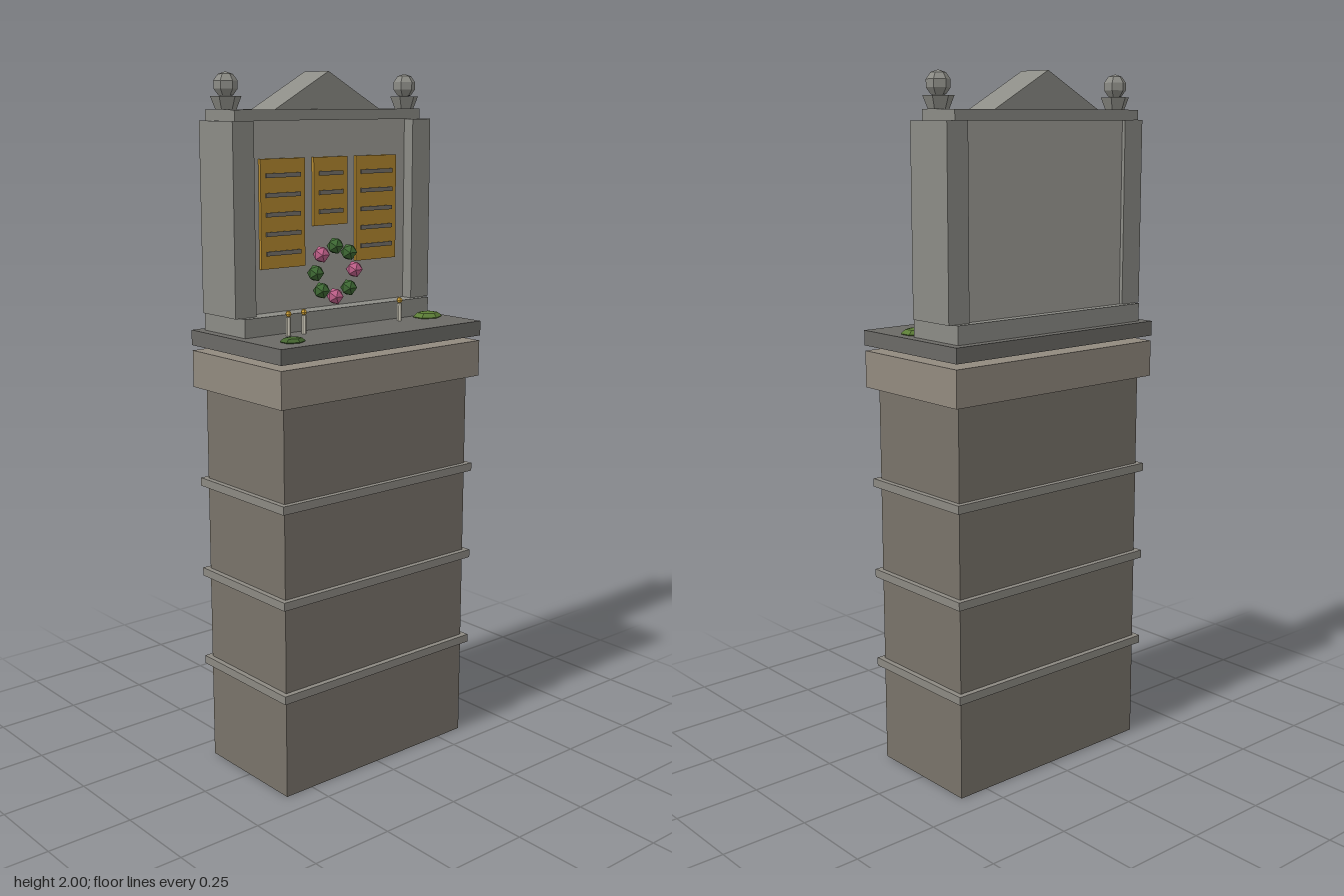
import * as THREE from 'three';

const mat = (color) => new THREE.MeshStandardMaterial({ color, flatShading: true });
const M = {
  shaft: mat(0x79736a), cornice: mat(0x928a7f), band: mat(0x8c8982), slab: mat(0x6b6a66),
  stone: mat(0x8c8c86), panel: mat(0xa09f98), gold: mat(0xb5892f), line: mat(0x77736b),
  leaf: mat(0x3f6a34), bloom: mat(0xc0608a), bush: mat(0x5c7d36), bushDark: mat(0x44652f),
  wax: mat(0xd0ccbc), flame: mat(0xd8a83a),
};

export function createModel() {
  const root = new THREE.Group();

  const add = (name, geo, material, x = 0, y = 0, z = 0, parent = root) => {
    const mesh = new THREE.Mesh(geo, material);
    mesh.name = name;
    mesh.position.set(x, y, z);
    parent.add(mesh);
    return mesh;
  };
  // Box given by its extents along each axis
  const box = (name, material, [x0, x1], [y0, y1], [z0, z1], parent = root) =>
    add(name, new THREE.BoxGeometry(x1 - x0, y1 - y0, z1 - z0), material,
      (x0 + x1) / 2, (y0 + y1) / 2, (z0 + z1) / 2, parent);

  // Tall pedestal with three bands and a cornice
  box('pedestalShaft', M.shaft, [-0.341, 0.341], [0, 1.13], [-0.177, 0.177]);
  for (const y of [0.303, 0.578, 0.851])
    box('pedestalBand', M.band, [-0.357, 0.357], [y - 0.012, y + 0.012], [-0.193, 0.193]);
  box('cornice', M.cornice, [-0.368, 0.368], [1.13, 1.235], [-0.203, 0.203]);
  box('topSlab', M.slab, [-0.369, 0.369], [1.25, 1.293], [-0.205, 0.205]);

  // Upright memorial wall
  box('wallBase', M.stone, [-0.341, 0.341], [1.293, 1.345], [-0.178, 0.011]);
  box('wallPanel', M.panel, [-0.3, 0.3], [1.345, 1.868], [-0.15, -0.044]);
  box('wallCap', M.stone, [-0.335, 0.335], [1.868, 1.897], [-0.165, -0.03]);

  // Triangular pediment
  const tri = new THREE.Shape();
  tri.moveTo(-0.189, 1.897).lineTo(0.189, 1.897).lineTo(0, 2).closePath();
  add('pediment', new THREE.ExtrudeGeometry(tri, { depth: 0.107, bevelEnabled: false }),
    M.stone, 0, 0, -0.151);

  // Pilasters with hexagonal urn and ball finials
  for (const s of [-1, 1]) {
    const cx = s * 0.323;
    box('pilaster', M.stone, [cx - 0.035, cx + 0.035], [1.345, 1.868], [-0.161, -0.008]);
    const finial = new THREE.Group();
    finial.name = 'finial';
    finial.position.set(cx, 1.897, -0.084);
    root.add(finial);
    add('finialUrn', new THREE.CylinderGeometry(0.042, 0.028, 0.035, 6), M.stone, 0, 0.0175, 0, finial);
    const ball = add('finialBall', new THREE.SphereGeometry(0.034, 6, 5), M.stone, 0, 0.065, 0, finial);
    ball.rotation.y = Math.PI / 6;
  }

  // Gold plaques with raised rows
  const plaque = (cx, halfW, yBottom, rows, rowHalf) => {
    const g = new THREE.Group();
    g.name = 'plaque';
    root.add(g);
    box('plate', M.gold, [cx - halfW, cx + halfW], [yBottom, 1.767], [-0.046, -0.035], g);
    for (let i = 0; i < rows; i++) {
      const y = 1.722 - i * 0.053;
      box('plaqueRow', M.line, [cx - rowHalf, cx + rowHalf], [y - 0.006, y + 0.006], [-0.037, -0.031], g);
    }
  };
  plaque(-0.171, 0.077, 1.468, 5, 0.06);
  plaque(0.171, 0.077, 1.468, 5, 0.06);
  plaque(0, 0.062, 1.577, 3, 0.044);

  // Wreath of leaves and blooms
  const wreath = new THREE.Group();
  wreath.name = 'wreath';
  wreath.position.set(0, 1.447, -0.016);
  root.add(wreath);
  for (let i = 0; i < 8; i++) {
    const a = (i * Math.PI) / 4;
    const bud = add(i % 3 ? 'wreathLeaf' : 'wreathBloom', new THREE.IcosahedronGeometry(0.025),
      i % 3 ? M.leaf : M.bloom, 0.072 * Math.cos(a), 0.072 * Math.sin(a), 0, wreath);
    bud.rotation.z = Math.PI / 2;
  }

  // Candles standing on the slab
  for (const x of [-0.22, -0.166, 0.192]) {
    add('candle', new THREE.CylinderGeometry(0.007, 0.007, 0.051, 6), M.wax, x, 1.3185, 0.047);
    add('candleFlame', new THREE.SphereGeometry(0.009, 6, 4), M.flame, x, 1.353, 0.047);
  }

  // Low moss tufts
  const tuft = (x, z, r, h, material) => {
    const geo = new THREE.SphereGeometry(r, 6, 4).rotateY(Math.PI / 6).scale(1, h / r, 0.83);
    add('mossTuft', geo, material, x, 1.296, z);
  };
  tuft(0.3, 0.053, 0.047, 0.016, M.bush);
  tuft(-0.275, 0.135, 0.0375, 0.012, M.bushDark);

  return root;
}
